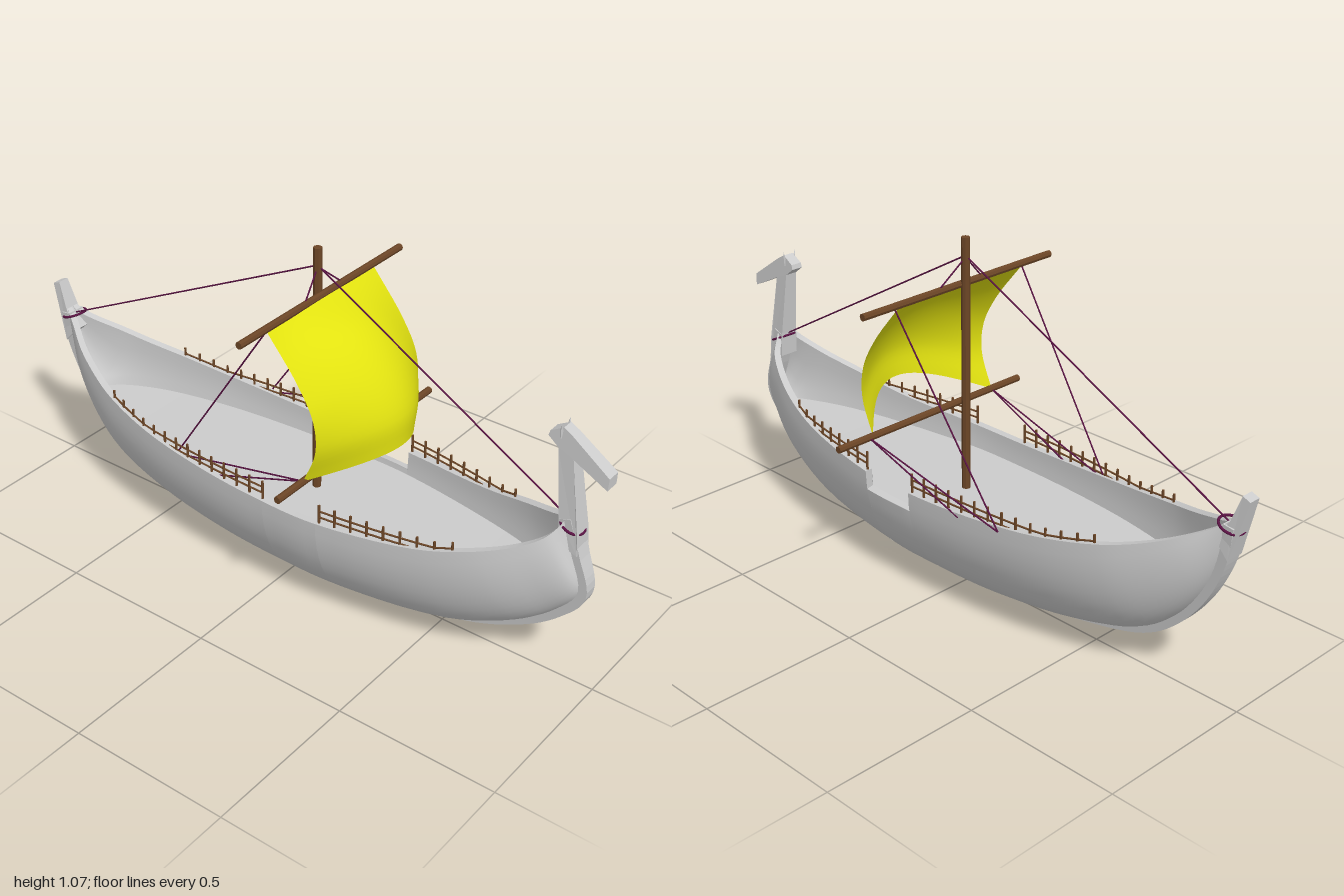
import * as THREE from 'three';

const V = (x, y, z = 0) => new THREE.Vector3(x, y, z);
const MID = 0.008; // centre plane of the hull
const DECK = 0.28;
const mat = (color, flatShading = false) =>
  new THREE.MeshStandardMaterial({ color, flatShading, side: THREE.DoubleSide });
const grey = mat(0xcccccc), greyFlat = mat(0xcccccc, true);
const wood = mat(0x6b4526, true), rope = mat(0x5c1445), cloth = mat(0xe2e210);

// Hull stations, stern to bow: keel x, keel y, gunwale x, gunwale y, half width
const STATIONS = [
  [-0.94, 0.55, -0.945, 0.56, 0.02], [-0.925, 0.45, -0.9, 0.53, 0.045],
  [-0.87, 0.32, -0.82, 0.49, 0.095], [-0.78, 0.205, -0.72, 0.452, 0.14],
  [-0.67, 0.125, -0.62, 0.425, 0.175], [-0.46, 0.065, -0.44, 0.393, 0.213],
  [-0.2, 0.03, -0.2, 0.37, 0.237], [0.03, 0.022, 0.03, 0.36, 0.245],
  [0.22, 0.024, 0.22, 0.361, 0.241], [0.57, 0.068, 0.52, 0.385, 0.195],
  [0.77, 0.155, 0.68, 0.425, 0.155], [0.875, 0.235, 0.79, 0.465, 0.11],
  [0.943, 0.325, 0.85, 0.5, 0.075], [0.915, 0.44, 0.875, 0.53, 0.045],
  [0.88, 0.55, 0.885, 0.55, 0.03],
];
const SEG = STATIONS.length - 1, NOTCH = 7; // the gangway notch fills segment 7
const keelCurve = new THREE.CatmullRomCurve3(STATIONS.map(s => V(s[0], s[1])));
const railCurve = new THREE.CatmullRomCurve3(STATIONS.map(s => V(s[2], s[3], s[4])));

function add(parent, name, geometry, material) {
  const mesh = new THREE.Mesh(geometry, material);
  mesh.name = name;
  parent.add(mesh);
  return mesh;
}

// Surface through rows of points
function loft(rows) {
  const n = rows[0].length, index = [];
  for (let i = 0; i < rows.length - 1; i++)
    for (let j = 0; j < n - 1; j++) {
      const a = i * n + j, b = a + n;
      index.push(a, b, a + 1, b, b + 1, a + 1);
    }
  const g = new THREE.BufferGeometry().setFromPoints(rows.flat());
  g.setIndex(index);
  g.computeVertexNormals();
  return g;
}

// Round bar between two points
function bar(parent, name, a, b, r, material, sides = 8) {
  const mesh = add(parent, name, new THREE.CylinderGeometry(r, r, a.distanceTo(b), sides), material);
  mesh.position.copy(a).lerp(b, 0.5);
  mesh.quaternion.setFromUnitVectors(V(0, 1, 0), b.clone().sub(a).normalize());
  return mesh;
}

// Side outline extruded across the ship, with half width depending on height
function plate(parent, name, points, halfWidth) {
  const shape = new THREE.Shape(points.map(p => new THREE.Vector2(p.x, p.y)));
  const g = new THREE.ExtrudeGeometry(shape, { depth: 2, bevelEnabled: false });
  const p = g.attributes.position;
  for (let i = 0; i < p.count; i++) p.setZ(i, MID + (p.getZ(i) - 1) * halfWidth(p.getY(i)));
  g.computeVertexNormals();
  return add(parent, name, g, greyFlat);
}

// Ribs of the hull; ribs at the notch ends are doubled to form its upright walls
function hullRibs() {
  const ribs = [];
  for (let s = 0; s < SEG; s++) {
    const cut = s === NOTCH;
    const last = cut || s === NOTCH - 1 || s === SEG - 1;
    for (let k = 0; k < (last ? 6 : 5); k++) ribs.push({ u: (s + k / 5) / SEG, cut });
  }
  return ribs.map(({ u, cut }) => {
    const K = keelCurve.getPoint(u), S = railCurve.getPoint(u);
    const angleAt = y => Math.asin(THREE.MathUtils.clamp((S.y - y) / Math.max(S.y - K.y, 1e-4), 0, 1));
    const point = (side, t, inset) => {
      const f = Math.sin(t) * (inset ? 0.92 : 1);
      const w = Math.max(S.z - inset, 0.004);
      return V(S.x + (K.x - S.x) * f, S.y + (K.y - S.y) * f, MID + side * w * Math.cos(t));
    };
    return { point, top: side => (cut && side < 0 ? angleAt(0.3) : 0), floor: angleAt(DECK) };
  });
}

function buildHull(root) {
  const hull = new THREE.Group();
  hull.name = 'hull';
  root.add(hull);
  const ribs = hullRibs(), M = 12, T = 0.024, H = Math.PI / 2;
  const span = (n, f) => Array.from({ length: n + 1 }, (_, i) => f(i / n));

  add(hull, 'outerShell', loft(ribs.map(r => [
    ...span(M, f => r.point(1, r.top(1) + (H - r.top(1)) * f, 0)),
    ...span(M, f => r.point(-1, H + (r.top(-1) - H) * f, 0)).slice(1),
  ])), grey);
  for (const side of [1, -1]) {
    add(hull, 'innerWall', loft(ribs.map(r => span(4, f =>
      r.point(side, r.top(side) + (r.floor - r.top(side)) * f, T)))), grey);
    add(hull, 'gunwale', loft(ribs.map(r => [0, T].map(d => r.point(side, r.top(side), d)))), greyFlat);
  }
  add(hull, 'deck', loft(ribs.map(r => [1, -1].map(side => r.point(side, r.floor, T)))), greyFlat);

  // Keel and stem strips, open amidships
  const samples = Array.from({ length: 91 }, (_, i) => {
    const p = keelCurve.getPoint(i / 90), t = keelCurve.getTangent(i / 90);
    return { p, n: V(t.y, -t.x) };
  });
  const strip = (name, list) => plate(hull, name, [
    ...list.map(({ p, n }) => p.clone().addScaledVector(n, 0.022)),
    ...list.map(({ p, n }) => p.clone().addScaledVector(n, -0.012)).reverse(),
  ], y => 0.007 + 0.042 * Math.max(y, 0));
  strip('sternKeel', samples.filter(s => s.p.x < -0.11));
  strip('bowKeel', samples.filter(s => s.p.x > 0.19));

  // Stern post, and the bow post with its carved animal head
  plate(hull, 'sternPost', [V(-1, 0.635), V(-0.975, 0.645), V(-0.945, 0.56), V(-0.905, 0.5),
    V(-0.95, 0.45)], y => 0.03 - 0.08 * Math.max(y - 0.5, 0));
  plate(hull, 'bowPost', [V(0.87, 0.47), V(0.865, 0.55), V(0.84, 0.755), V(0.808, 0.78), V(0.812, 0.795),
    V(0.85, 0.818), V(0.877, 0.803), V(0.995, 0.72), V(0.993, 0.683), V(0.888, 0.735),
    V(0.925, 0.51), V(0.93, 0.45)], y => 0.031 - 0.042 * Math.max(y - 0.5, 0));
  for (const side of [1, -1]) {
    const ear = add(hull, 'ear', new THREE.ConeGeometry(0.009, 0.045, 4), greyFlat);
    ear.position.set(0.845, 0.808, MID + side * 0.018);
    ear.rotation.x = side * 0.25;
  }
}

// Low railings of posts and two rails standing on the gunwale
function buildRailings(root) {
  const pointAtX = x => {
    let lo = 0, hi = 1;
    for (let i = 0; i < 30; i++) {
      const m = (lo + hi) / 2;
      if (railCurve.getPoint(m).x < x) lo = m; else hi = m;
    }
    return railCurve.getPoint(lo);
  };
  for (const side of [1, -1])
    for (const [x0, x1, count] of [[-0.615, 0.025, 14], [0.225, 0.625, 9]]) {
      const g = new THREE.Group();
      g.name = 'railing';
      root.add(g);
      const feet = Array.from({ length: count }, (_, i) => {
        const p = pointAtX(x0 + (x1 - x0) * i / (count - 1));
        return V(p.x, p.y, MID + side * (p.z - 0.012));
      });
      const at = (p, y) => V(p.x, Math.max(y, p.y + y - 0.395), p.z);
      feet.forEach((p, i) => {
        bar(g, 'railPost', V(p.x, p.y - 0.02, p.z), at(p, 0.42), 0.004, wood, 5);
        if (i) for (const y of [0.4, 0.38])
          bar(g, 'rail', at(feet[i - 1], y), at(p, y), 0.003, wood, 5);
      });
    }
}

function buildRig(root) {
  const rig = new THREE.Group();
  rig.name = 'rig';
  root.add(rig);
  bar(rig, 'mast', V(0.042, DECK - 0.02, MID), V(0.042, 1.075, MID), 0.013, wood);
  bar(rig, 'upperYard', V(0.056, 0.932, -0.367), V(0.056, 0.932, 0.367), 0.011, wood);
  bar(rig, 'lowerYard', V(0.18, 0.49, -0.367), V(0.18, 0.49, 0.367), 0.011, wood);

  // Billowing sail between an edge profile and a fuller middle profile
  const edge = new THREE.CatmullRomCurve3([V(0.056, 0.925), V(0.165, 0.79), V(0.215, 0.695),
    V(0.222, 0.6), V(0.18, 0.49)]);
  const middle = new THREE.CatmullRomCurve3([V(0.056, 0.932), V(0.195, 0.865), V(0.29, 0.765),
    V(0.345, 0.65), V(0.347, 0.555)]);
  const rows = [];
  for (let i = 0; i <= 20; i++) {
    const row = [];
    for (let j = 0; j <= 24; j++) {
      const s = j / 12 - 1;
      const p = edge.getPoint(i / 20).lerp(middle.getPoint(i / 20), Math.cos(s * Math.PI / 2));
      row.push(p.setZ(MID + s * 0.243));
    }
    rows.push(row);
  }
  add(rig, 'sail', loft(rows), cloth);

  // Stays, braces and sheets
  const line = (name, a, b) => bar(rig, name, a, b, 0.0025, rope, 5);
  line('backStay', V(0.042, 1.02, MID), V(-0.93, 0.545, MID));
  line('foreStay', V(0.042, 1.02, MID), V(0.885, 0.535, MID));
  for (const side of [1, -1]) {
    line('yardSling', V(0.042, 1.015, MID), V(0.056, 0.935, side * 0.085));
    line('brace', V(0.056, 0.925, side * 0.25), V(-0.32, 0.365, side * 0.222));
    line('sheet', V(0.18, 0.49, side * 0.25), V(-0.32, 0.365, side * 0.222));
    line('sheet', V(0.18, 0.49, side * 0.25), V(-0.17, 0.355, side * 0.23));
  }
  // Rope lashings around the end posts
  for (const [x, y, tilt] of [[0.893, 0.525, -0.45], [-0.935, 0.54, 0.35]]) {
    const ring = add(rig, 'lashing', new THREE.TorusGeometry(0.037, 0.004, 6, 20), rope);
    ring.position.set(x, y, MID);
    ring.rotation.set(Math.PI / 2, tilt, 0);
  }
}

export function createModel() {
  const root = new THREE.Group();
  root.name = 'sailingShip';
  buildHull(root);
  buildRailings(root);
  buildRig(root);
  return root;
}
